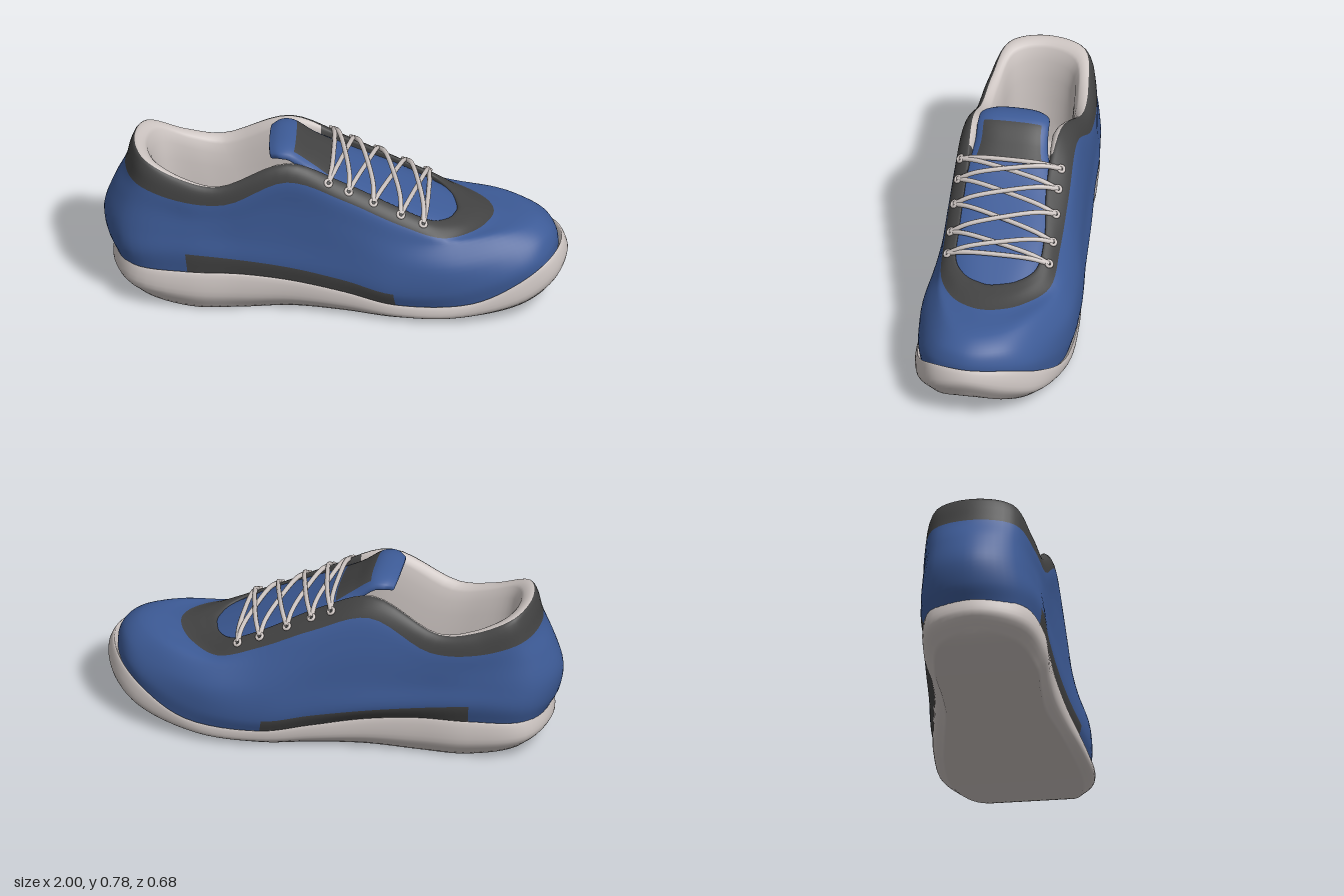
import * as THREE from 'three';

const mat = (name, color) => {
  const m = new THREE.MeshStandardMaterial({ color });
  m.name = name;
  return m;
};
const V = (x, y, z) => new THREE.Vector3(x, y, z);
const STEP = 6;       // samples between stations round a loop
const STATIONS = 20;  // heel, 9 left, toe, 9 right

// Closed loop from stations [x, y, zLeft, zRight], ordered heel to toe
function loop(st) {
  const left = st.map(([x, y, z]) => V(x, y, z));
  const right = st.slice(1, -1).reverse().map(([x, y, , z]) => V(x, y, z));
  return new THREE.CatmullRomCurve3([...left, ...right], true);
}
const sample = c => Array.from({ length: STATIONS * STEP }, (_, i) => c.getPoint(i / (STATIONS * STEP)));

// Smooth the rings along the other direction
function refine(rings, div) {
  const curves = rings[0].map((_, i) => new THREE.CatmullRomCurve3(rings.map(r => r[i])));
  const n = (rings.length - 1) * div;
  return Array.from({ length: n + 1 }, (_, j) => curves.map(c => c.getPoint(j / n)));
}

// Skin closed rings; pick(i, j) gives the material index of each face
function loft(rings, pick, capFirst = -1, capLast = -1) {
  const n = rings[0].length, lists = [[], [], []];
  for (let j = 0; j < rings.length - 1; j++) for (let i = 0; i < n; i++) {
    const a = j * n + i, b = j * n + (i + 1) % n;
    lists[pick(i, j)].push(a, b, b + n, a, b + n, a + n);
  }
  const cap = (base, list, up) => {
    for (let i = 0; i < n / 2; i++) {
      const a = base + i, b = base + i + 1, c = base + (n - i - 1) % n, d = base + (n - i) % n;
      lists[list].push(...(up ? [a, b, c, a, c, d] : [a, c, b, a, d, c]));
    }
  };
  if (capFirst >= 0) cap(0, capFirst, false);
  if (capLast >= 0) cap((rings.length - 1) * n, capLast, true);
  const g = new THREE.BufferGeometry();
  g.setAttribute('position', new THREE.Float32BufferAttribute(rings.flat().flatMap(p => p.toArray()), 3));
  g.setIndex(lists.flat());
  let start = 0;
  lists.forEach((l, k) => { if (l.length) g.addGroup(start, l.length, k); start += l.length; });
  g.computeVertexNormals();
  return g;
}

// Upper loops, from the sole line to the top edge
const feather = loop([[-.95, .2, 0, 0], [-.88, .19, .19, -.175], [-.63, .19, .25, -.23], [-.4, .18, .245, -.235],
  [-.18, .16, .25, -.25], [.05, .12, .27, -.283], [.27, .08, .3, -.312], [.58, .095, .31, -.306],
  [.8, .165, .27, -.225], [.91, .235, .2, -.12], [.96, .26, .05, .05]]);
const bandTop = loop([[-.985, .27, 0, 0], [-.9, .275, .2, -.195], [-.64, .29, .262, -.262], [-.4, .265, .26, -.28],
  [-.18, .235, .265, -.3], [.05, .19, .285, -.315], [.26, .145, .318, -.333], [.53, .17, .328, -.328],
  [.8, .245, .277, -.228], [.905, .287, .195, -.12], [.955, .305, .05, .05]]);
const middle = loop([[-1, .38, 0, 0], [-.91, .38, .185, -.19], [-.65, .38, .252, -.255], [-.42, .37, .255, -.27],
  [-.19, .36, .26, -.288], [.05, .33, .28, -.305], [.27, .28, .306, -.328], [.52, .28, .315, -.32],
  [.77, .32, .25, -.21], [.885, .345, .17, -.1], [.93, .35, .05, .05]]);
const shoulder = loop([[-.96, .5, 0, 0], [-.885, .5, .175, -.18], [-.65, .46, .243, -.25], [-.43, .46, .255, -.265],
  [-.2, .53, .26, -.27], [.05, .46, .274, -.285], [.28, .38, .28, -.295], [.5, .365, .26, -.27],
  [.71, .387, .2, -.175], [.82, .391, .13, -.07], [.86, .392, .04, .04]]);
const trimEdge = loop([[-.91, .6, 0, 0], [-.855, .59, .175, -.18], [-.68, .545, .237, -.242], [-.47, .54, .255, -.255],
  [-.2, .67, .266, -.235], [.05, .58, .265, -.243], [.28, .465, .26, -.243], [.47, .392, .245, -.23],
  [.6, .39, .175, -.135], [.66, .397, .1, -.05], [.68, .4, .03, .03]]);
const topEdge = loop([[-.87, .718, 0, 0], [-.82, .702, .16, -.165], [-.66, .635, .21, -.208], [-.5, .612, .225, -.215],
  [-.2, .738, .222, -.165], [.05, .635, .205, -.148], [.27, .52, .2, -.175], [.42, .447, .188, -.162],
  [.49, .425, .13, -.09], [.515, .42, .075, -.025], [.525, .418, .03, .03]]);

// Sole loops, from the ground to the top lip; the right waist is tucked under the upper
const soleBottom = loop([[-.9, .07, 0, 0], [-.83, .045, .17, -.15], [-.62, .012, .235, -.2], [-.4, .008, .225, -.2],
  [-.18, .016, .215, -.21], [.05, .016, .245, -.245], [.27, .004, .273, -.275], [.54, .014, .283, -.275],
  [.8, .06, .24, -.2], [.92, .11, .16, -.09], [.965, .15, .05, .05]]);
const soleBulge = loop([[-.96, .14, 0, 0], [-.88, .12, .213, -.198], [-.63, .095, .277, -.25], [-.4, .085, .268, -.248],
  [-.18, .08, .263, -.26], [.05, .065, .285, -.293], [.27, .042, .32, -.322], [.55, .05, .333, -.322],
  [.83, .12, .285, -.24], [.955, .19, .2, -.12], [1, .235, .05, .05]]);
const soleLip = loop([[-.95, .205, 0, 0], [-.87, .2, .205, -.19], [-.63, .2, .262, -.24], [-.4, .195, .26, -.245],
  [-.18, .17, .262, -.26], [.05, .13, .282, -.295], [.27, .09, .315, -.325], [.6, .11, .323, -.317],
  [.805, .2, .284, -.239], [.925, .272, .21, -.13], [.975, .29, .05, .05]]);

export function createModel() {
  const shoe = new THREE.Group();
  shoe.name = 'shoe';
  const blue = mat('blue fabric', 0x3d5b97), dark = mat('dark trim', 0x434343), light = mat('pale rubber', 0xcbc3c0);
  const mats = [blue, dark, light];
  const add = (name, geo, m, parent = shoe) => {
    const mesh = new THREE.Mesh(geo, m);
    mesh.name = name;
    parent.add(mesh);
    return mesh;
  };

  // Sole with toe bumper
  const soleRings = refine([soleBottom, soleBulge, soleLip, feather].map(sample), 5);
  add('sole', loft(soleRings, () => 2, 2), mats);

  // Upper, dark side band, collar trim, padded lining and insole in one skin
  const outer = [feather, bandTop, middle, shoulder, trimEdge].map(sample);
  const top = sample(topEdge);
  const roll = top.map((p, i) => outer[4][i].clone().lerp(p, .65).multiply(V(1.005, 1.01, 1.04)));
  const rim = top.map((p, i) => {
    const s = i / STEP, pad = THREE.MathUtils.clamp(Math.abs(s - STATIONS / 2) - 5, 0, 1); // no padding in the throat
    return V(p.x - (p.x + .1) * .07 * pad, p.y - .03, p.z + (.02 - p.z) * .18 * pad);
  });
  const insole = outer[0].map(p => V(p.x * .81, .23, p.z * .64));
  const DIV = 5;
  const bands = [0, 0, 0, 0, 1, 1, 2, 2];
  add('upper', loft(refine([...outer, roll, top, rim, insole], DIV), (i, j) => {
    const s = i / STEP, row = Math.floor(j / DIV);
    const side = (s >= 2 && s < 6) || (s >= 14 && s < 18);
    const throat = s >= 4.5 && s < 15.5;
    return (row === 0 && side) || (row >= 6 && throat) ? 1 : bands[row];
  }, -1, 2), mats);

  // Tongue: flattened sections along a path; the third value is the half width
  const path = new THREE.CatmullRomCurve3([V(.58, .36, .16), V(.47, .412, .188), V(.3, .492, .215), V(.05, .606, .205),
    V(-.1, .7, .16), V(-.19, .76, .155), V(-.24, .761, .15), V(-.28, .742, .125)]);
  const ROWS = 56, COLS = 40, tongueRings = [], rowX = [];
  for (let j = 0; j <= ROWS; j++) {
    const f = j / ROWS, p = path.getPoint(f), t = path.getTangent(f).setZ(0).normalize();
    const thick = j === ROWS ? .012 : .022;
    const crown = .035 - .025 * f;
    const middleZ = .015 + .025 * Math.min(1, f * 1.5);
    rowX.push(p.x);
    tongueRings.push(Array.from({ length: COLS }, (_, i) => {
      const a = i / COLS * Math.PI * 2, c = Math.cos(a), s = Math.sin(a);
      const off = thick * Math.sign(s) * Math.sqrt(Math.abs(s)) - crown * c ** 4;
      return V(p.x + t.y * off, p.y - t.x * off, middleZ + p.z * c);
    }));
  }
  add('tongue', loft(tongueRings, (i, j) =>
    i >= 4 && i < 16 && rowX[j] < -.03 && rowX[j] > -.17 ? 1 : 0, -1, 0), mats);

  // Eyelets on the trim, left and right
  const laces = new THREE.Group();
  laces.name = 'laces';
  shoe.add(laces);
  const ring = new THREE.TorusGeometry(.014, .007, 8, 16);
  const eyelet = u => {
    const mid = w => trimEdge.getPoint(w / STATIONS).lerp(topEdge.getPoint(w / STATIONS), .55);
    const across = topEdge.getPoint(u / STATIONS).sub(trimEdge.getPoint(u / STATIONS));
    const n = mid(u + .1).sub(mid(u - .1)).cross(across).normalize();
    const p = mid(u).addScaledVector(n, .014);
    const m = add('eyelet', ring, light, laces);
    m.position.copy(p);
    m.lookAt(p.clone().add(n));
    return p;
  };
  const us = [4.68, 5.04, 5.5, 6.05, 6.6];
  const L = us.map(u => eyelet(u)), R = us.map(u => eyelet(STATIONS - u));

  // Laces: straight at both ends, crossed between
  const lace = (a, b, h) => {
    const at = (t, k) => a.clone().lerp(b, t).add(V(h * k * .4, h * k, 0));
    const c = new THREE.CatmullRomCurve3([at(0, 0), at(.16, .75), at(.5, 1), at(.84, .75), at(1, 0)]);
    add('lace', new THREE.TubeGeometry(c, 24, .0105, 8), light, laces);
  };
  lace(L[0], R[0], .032);
  lace(L[4], R[4], .032);
  for (let k = 0; k < 4; k++) {
    lace(L[k], R[k + 1], .034);
    lace(R[k], L[k + 1], .046);
  }
  return shoe;
}
